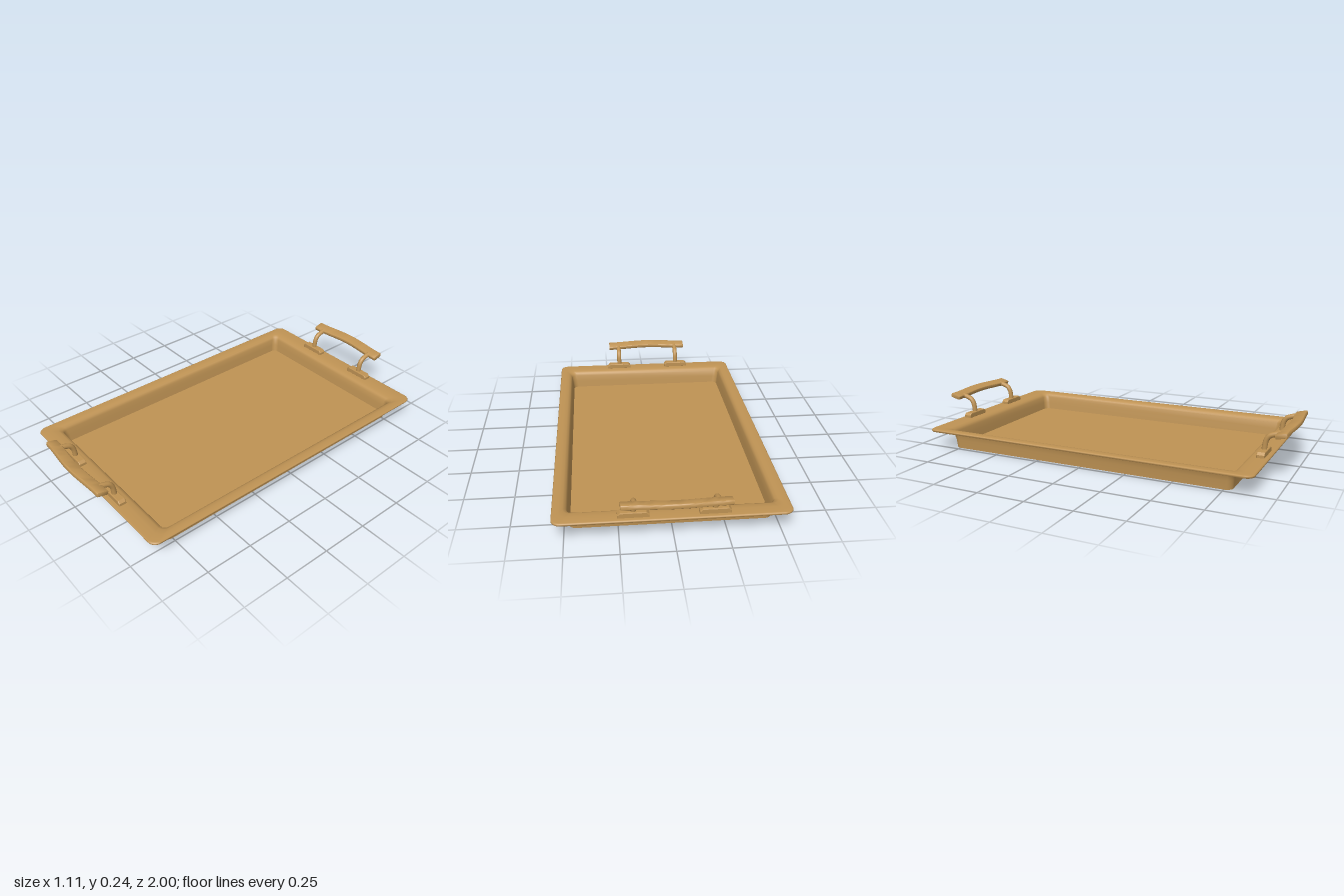
import * as THREE from 'three';
import { toCreasedNormals } from 'three/addons/utils/BufferGeometryUtils.js';

const wood = new THREE.MeshStandardMaterial({ color: 0xbf9354 });
wood.name = 'warm tan';

function part(name, geometry) {
  const mesh = new THREE.Mesh(geometry, wood);
  mesh.name = name;
  return mesh;
}

// One rounded-rectangle ring: half width, half length, height, corner radius
function ring(hx, hz, y, r, steps = 8) {
  const points = [];
  [[1, 1], [-1, 1], [-1, -1], [1, -1]].forEach(([sx, sz], q) => {
    for (let i = 0; i <= steps; i++) {
      const a = (q + i / steps) * Math.PI / 2;
      points.push([sx * (hx - r) + r * Math.cos(a), y, sz * (hz - r) + r * Math.sin(a)]);
    }
  });
  return points;
}

// Skin of rings from the floor centre, over the rim, to the underside centre
function loft(sections) {
  const rings = sections.map((s) => ring(...s));
  const n = rings[0].length;
  const index = [];
  for (let k = 0; k < rings.length - 1; k++) {
    for (let i = 0; i < n; i++) {
      const j = (i + 1) % n;
      const a = k * n + i, b = k * n + j, c = a + n, d = b + n;
      index.push(a, b, c, b, d, c);
    }
  }
  const g = new THREE.BufferGeometry();
  g.setAttribute('position', new THREE.Float32BufferAttribute(rings.flat(2), 3));
  g.setIndex(index);
  g.computeVertexNormals();
  return g;
}

function trayGeometry() {
  return loft([
    // floor, with its edge doubled to stay crisp
    [0, 0, 0.01, 0], [0.472, 0.782, 0.01, 0.03], [0.472, 0.782, 0.01, 0.03],
    // inner wall flaring into the rim
    [0.477, 0.787, 0.05, 0.03], [0.482, 0.793, 0.084, 0.03],
    [0.489, 0.802, 0.097, 0.032], [0.502, 0.818, 0.105, 0.034], [0.52, 0.85, 0.108, 0.036],
    // rim lip
    [0.545, 0.896, 0.108, 0.04], [0.551, 0.902, 0.105, 0.042],
    [0.553, 0.904, 0.101, 0.042], [0.549, 0.9, 0.094, 0.04], [0.549, 0.9, 0.094, 0.04],
    // underside of rim and outer wall
    [0.502, 0.818, 0.094, 0.035], [0.494, 0.808, 0.088, 0.035],
    [0.487, 0.798, 0.074, 0.035], [0.482, 0.791, 0.045, 0.035],
    [0.479, 0.787, 0, 0.035], [0.479, 0.787, 0, 0.035], [0, 0, 0, 0],
  ]);
}

// Bowed, tilted hand grip with a softly rounded section
function gripGeometry() {
  const w = 0.03, h = 0.012, r = 0.008;
  const shape = new THREE.Shape();
  shape.moveTo(-w + r, -h);
  shape.lineTo(w - r, -h);
  shape.quadraticCurveTo(w, -h, w, -h + r);
  shape.lineTo(w, h - r);
  shape.quadraticCurveTo(w, h, w - r, h);
  shape.lineTo(-w + r, h);
  shape.quadraticCurveTo(-w, h, -w, h - r);
  shape.lineTo(-w, -h + r);
  shape.quadraticCurveTo(-w, -h, -w + r, -h);
  const g = new THREE.ExtrudeGeometry(shape, {
    depth: 0.488, steps: 20, curveSegments: 4,
    bevelEnabled: true, bevelThickness: 0.004, bevelSize: 0.003, bevelOffset: -0.003, bevelSegments: 2,
  });
  g.translate(0, 0, -0.244);
  g.rotateY(Math.PI / 2);
  const p = g.attributes.position;
  for (let i = 0; i < p.count; i++) {
    const bow = 0.5 + 0.5 * Math.cos(Math.PI * p.getX(i) / 0.249);
    p.setZ(i, p.getZ(i) + 0.017 * bow);
  }
  g.rotateX(-0.25);
  g.translate(0, 0.222, 0.952);
  return toCreasedNormals(g, 0.7);
}

// Foot plate with chamfered upper ends
function footGeometry() {
  const shape = new THREE.Shape([
    [-0.073, 0.104], [0.073, 0.104], [0.073, 0.122], [0.06, 0.134], [-0.06, 0.134], [-0.073, 0.122],
  ].map(([x, y]) => new THREE.Vector2(x, y)));
  const g = new THREE.ExtrudeGeometry(shape, {
    depth: 0.032, bevelEnabled: true, bevelThickness: 0.004, bevelSize: 0.004, bevelOffset: -0.004, bevelSegments: 2,
  });
  g.translate(0, 0, 0.846);
  return g;
}

// Post rising from the foot and bending outward into the grip
function postGeometry() {
  const path = new THREE.CatmullRomCurve3([
    [0.862, 0.12], [0.864, 0.15], [0.87, 0.18], [0.884, 0.201], [0.908, 0.212], [0.94, 0.22],
  ].map(([z, y]) => new THREE.Vector3(0, y, z)));
  return new THREE.TubeGeometry(path, 24, 0.0135, 12);
}

function handle(name) {
  const group = new THREE.Group();
  group.name = name;
  group.add(part('grip', gripGeometry()));
  for (const x of [-0.187, 0.187]) {
    const foot = part('foot', footGeometry());
    const post = part('post', postGeometry());
    foot.position.x = post.position.x = x;
    group.add(foot, post);
  }
  return group;
}

export function createModel() {
  const model = new THREE.Group();
  model.name = 'servingTray';
  const front = handle('frontHandle');
  front.position.x = -0.018;
  const back = handle('backHandle');
  back.rotation.y = Math.PI;
  back.position.x = -0.004;
  model.add(part('tray', trayGeometry()), front, back);
  return model;
}
